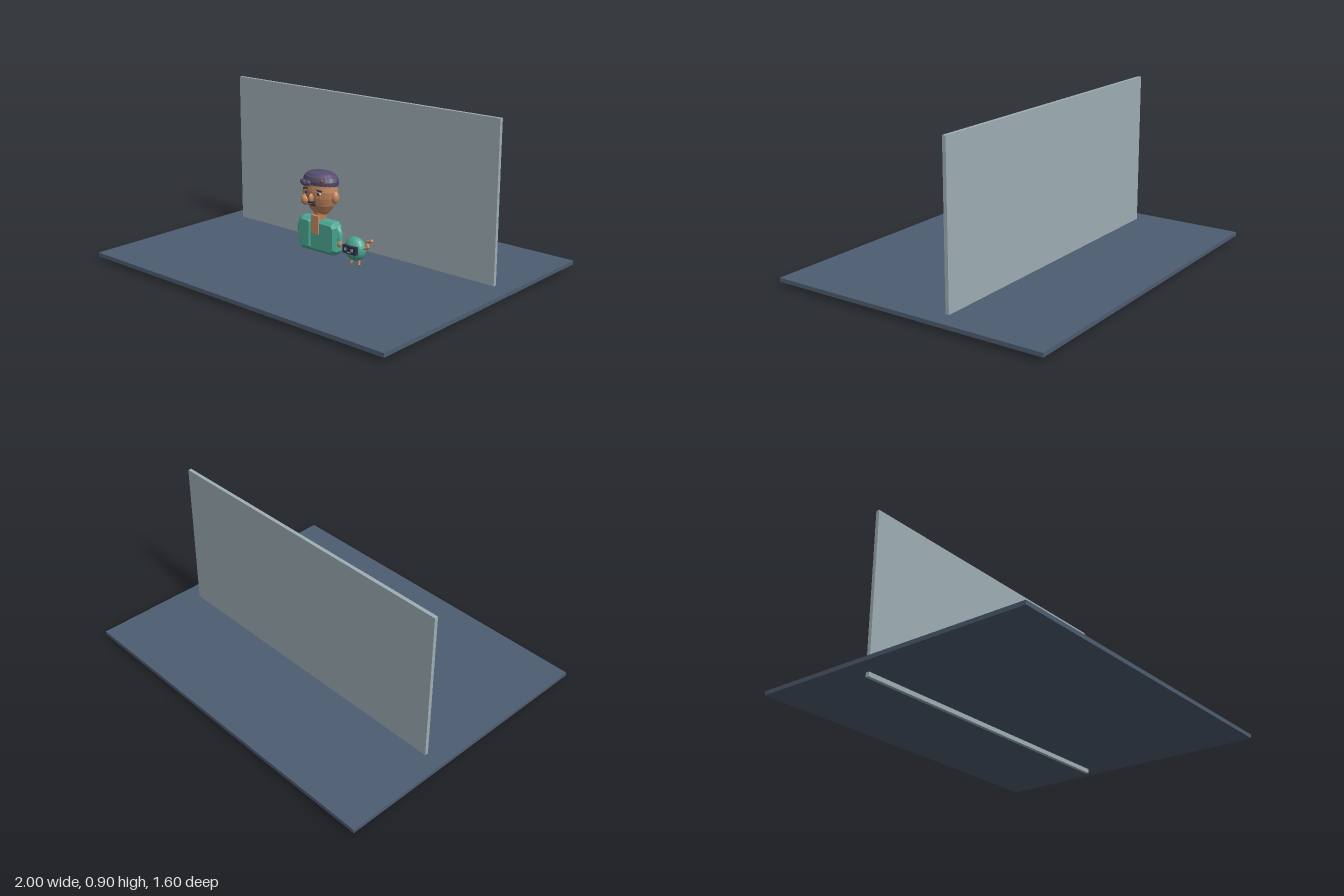
import * as THREE from 'three';

const mat = (name, color) => {
  const m = new THREE.MeshStandardMaterial({ color, flatShading: true });
  m.name = name;
  return m;
};

export function createModel() {
  const slate = mat('slate floor', 0x4e5d71), panel = mat('pale wall', 0x9fafb6);
  const skin = mat('skin', 0xc4875f), teal = mat('teal', 0x4aa894);
  const plum = mat('plum cap', 0x544d6c), dark = mat('dark', 0x2d3148);
  const light = mat('light', 0xd8d8d4), rust = mat('rust', 0x9a5a3c);
  const root = new THREE.Group();

  const add = (name, geo, material, x, y, z, parent = root) => {
    const m = new THREE.Mesh(geo, material);
    m.name = name;
    m.position.set(x, y, z);
    parent.add(m);
    return m;
  };
  const box = (w, h, d) => new THREE.BoxGeometry(w, h, d);
  const ball = (rx, ry, rz, n = 16) => new THREE.SphereGeometry(1, n, Math.round(n * 0.7)).scale(rx, ry, rz);
  const lathe = (pts, zScale) =>
    new THREE.LatheGeometry(pts.map(p => new THREE.Vector2(...p)), 24).scale(1, 1, zScale);
  // Block with cut corners and bevelled front and back
  const chamferBlock = (w, h, d, c, b) => {
    const x = w / 2 - b, y = h / 2 - b, s = new THREE.Shape();
    s.setFromPoints([[-x + c, -y], [x - c, -y], [x, -y + c], [x, y - c], [x - c, y], [-x + c, y], [-x, y - c], [-x, -y + c]]
      .map(p => new THREE.Vector2(...p)));
    return new THREE.ExtrudeGeometry(s, { depth: d - 2 * b, bevelEnabled: true, bevelSegments: 1, bevelSize: b, bevelThickness: b })
      .translate(0, 0, b - d / 2);
  };
  const limb = (name, points, r, material, parent) => {
    const path = new THREE.CatmullRomCurve3(points.map(p => new THREE.Vector3(...p)));
    return add(name, new THREE.TubeGeometry(path, 8, r, 8), material, 0, 0, 0, parent);
  };

  // Setting
  add('floor', box(2, 0.022, 1.6), slate, 0, 0.035, 0);
  add('backWall', box(1.8, 0.9, 0.02), panel, 0, 0.45, -0.2);

  // Person
  const person = new THREE.Group();
  person.name = 'person';
  root.add(person);
  add('torso', chamferBlock(0.27, 0.18, 0.076, 0.014, 0.018), teal, 0, 0.197, 0.105, person);
  add('jacketPanel', chamferBlock(0.06, 0.155, 0.03, 0.005, 0.006), teal, -0.066, 0.202, 0.137, person);
  add('neck', new THREE.CylinderGeometry(0.036, 0.03, 0.06, 16), skin, 0, 0.298, 0.1, person);
  add('chestStrip', box(0.05, 0.1, 0.02), skin, 0, 0.26, 0.14, person);
  for (const s of [-1, 1]) {
    limb('sleeve', [[s * 0.118, 0.262, 0.105], [s * 0.134, 0.235, 0.105], [s * 0.139, 0.19, 0.107]], 0.017, teal, person);
    add('hand', ball(0.014, 0.022, 0.015, 10), skin, s * 0.139, 0.178, 0.108, person);
  }

  // Head with ears and face
  add('head', lathe([[0.0001, 0.308], [0.035, 0.312], [0.06, 0.332], [0.085, 0.368], [0.1, 0.41], [0.105, 0.445],
    [0.1, 0.485], [0.07, 0.515], [0.0001, 0.525]], 0.68), skin, 0, 0, 0.1, person);
  add('nose', ball(0.012, 0.024, 0.018, 10), skin, 0, 0.412, 0.172, person);
  add('cheek', ball(0.026, 0.03, 0.026), skin, -0.063, 0.388, 0.148, person);
  add('mole', ball(0.006, 0.006, 0.006, 8), rust, 0.058, 0.39, 0.154, person);
  for (const s of [-1, 1]) {
    add('ear', ball(0.021, 0.034, 0.021), skin, s * 0.102, 0.417, 0.1, person);
    add('eyeWhite', ball(0.016, 0.009, 0.006, 10), light, s * 0.043, 0.437, 0.161, person);
    add('pupil', ball(0.008, 0.008, 0.006, 10), dark, s * 0.043, 0.437, 0.165, person);
    add('eyebrow', box(0.036, 0.007, 0.008), dark, s * 0.045, 0.455, 0.163, person).rotation.z = -s * 0.12;
    add('moustacheHalf', ball(0.018, 0.006, 0.008, 10), dark, s * 0.014, 0.386, 0.168, person).rotation.z = -s * 0.2;
  }
  add('mouth', box(0.03, 0.007, 0.008), dark, 0, 0.37, 0.161, person);

  // Cap with fringe and patch
  add('cap', lathe([[0.0001, 0.466], [0.098, 0.466], [0.104, 0.478], [0.107, 0.498], [0.098, 0.518],
    [0.075, 0.534], [0.04, 0.543], [0.0001, 0.545]], 0.7), plum, 0, 0, 0.096, person);
  for (const [x, y, z, r] of [[-0.086, 0.478, 0.138, 0.022], [-0.058, 0.481, 0.157, 0.022], [-0.025, 0.486, 0.165, 0.02]])
    add('fringe', ball(r, r * 0.8, r * 0.8, 10), plum, x, y, z, person);
  add('capPatch', ball(0.02, 0.009, 0.006, 10), rust, 0.052, 0.508, 0.157, person);

  // Round robot
  const robot = new THREE.Group();
  robot.name = 'robot';
  robot.position.set(0.24, 0.17, 0.1);
  root.add(robot);
  add('robotBody', ball(0.064, 0.064, 0.042, 20), teal, 0, 0, 0, robot);
  add('robotFace', box(0.088, 0.042, 0.02), dark, 0, 0.004, 0.042, robot);
  for (const s of [-1, 1]) {
    add('robotEye', box(0.016, 0.014, 0.004), panel, s * 0.022, 0.006, 0.053, robot);
    limb('robotLeg', [[s * 0.022, -0.05, 0], [s * 0.025, -0.07, 0], [s * 0.027, -0.083, 0.002]], 0.008, skin, robot);
  }
  add('robotMouth', box(0.022, 0.004, 0.004), panel, 0, -0.008, 0.053, robot);
  limb('robotArm', [[0.058, 0.012, 0], [0.085, 0.022, 0], [0.077, 0.05, 0], [0.1, 0.06, 0]], 0.008, skin, robot);
  add('robotHand', ball(0.013, 0.01, 0.01, 10), skin, 0.106, 0.063, 0, robot);

  return root;
}
